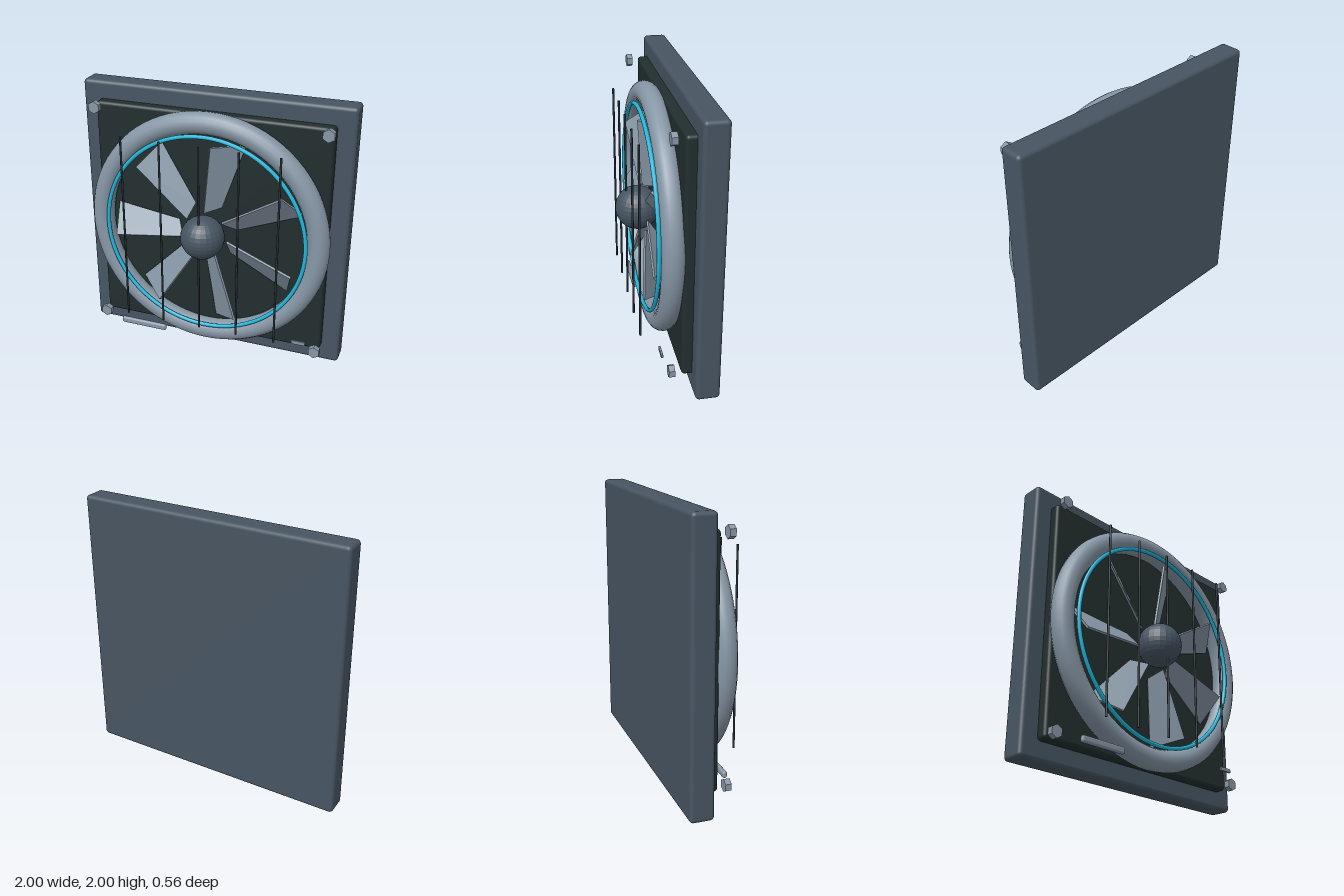
import * as THREE from 'three';
import { RoundedBoxGeometry } from 'three/addons/geometries/RoundedBoxGeometry.js';

const paint = (name, color, flatShading = false) => {
  const m = new THREE.MeshStandardMaterial({ color, flatShading });
  m.name = name;
  return m;
};

export function createModel() {
  const slate = paint('slate', 0x475562);
  const hubSlate = paint('facetedSlate', 0x475562, true);
  const dark = paint('darkPanel', 0x222e2e);
  const steel = paint('steel', 0x8797a6);
  const steelFlat = paint('facetedSteel', 0x8797a6, true);
  const cyan = paint('cyan', 0x20b6da);
  const wire = paint('darkWire', 0x273138);

  const model = new THREE.Group();
  model.name = 'ventilationFan';
  const add = (name, geometry, material, x, y, z, parent = model) => {
    const mesh = new THREE.Mesh(geometry, material);
    mesh.name = name;
    mesh.position.set(x, y, z);
    parent.add(mesh);
    return mesh;
  };

  // Square housing and recessed panel
  add('housing', new RoundedBoxGeometry(2, 2, 0.17, 3, 0.028), slate, 0, 1, -0.195);
  add('panel', new RoundedBoxGeometry(1.74, 1.74, 0.14, 3, 0.025), dark, 0, 1, -0.108);

  // Shroud ring with a bright inner trim
  add('shroudRing', new THREE.TorusGeometry(0.825, 0.08, 16, 80), steel, 0, 1, 0.018);
  add('trimRing', new THREE.TorusGeometry(0.75, 0.015, 10, 80), cyan, 0, 1, 0.098);

  // Seven tapered blades, each pitched about its own radius
  const pitch = 0.65, thickness = 0.016;
  const corners = [[0.22, -0.055], [0.718, -0.104], [0.682, 0.1], [0.165, 0.045]];
  const outline = new THREE.Shape(corners.map(([r, t]) => new THREE.Vector2(r, t / Math.cos(pitch))));
  const bladeGeometry = new THREE.ExtrudeGeometry(outline, { depth: thickness, bevelEnabled: false });
  bladeGeometry.translate(0, 0, -thickness / 2);
  bladeGeometry.rotateX(pitch);
  const rotor = new THREE.Group();
  rotor.name = 'rotor';
  rotor.position.set(0, 1, 0.038);
  model.add(rotor);
  for (let i = 0; i < 7; i++) {
    const blade = add('blade', bladeGeometry, steelFlat, 0, 0, 0, rotor);
    blade.rotation.z = Math.PI + (i * Math.PI * 2) / 7;
  }

  // Round hub
  add('hub', new THREE.SphereGeometry(0.16, 24, 16), hubSlate, 0, 1, 0.115);

  // Vertical guard wires
  const wireGeometry = new THREE.CylinderGeometry(0.008, 0.008, 1.43, 8);
  for (let i = -2; i <= 2; i++) add('guardWire', wireGeometry, wire, i * 0.2875, 1, 0.195);

  // Hexagonal corner bolts
  const boltGeometry = new THREE.CylinderGeometry(0.046, 0.046, 0.042, 6);
  boltGeometry.rotateX(Math.PI / 2);
  for (const x of [-0.845, 0.845])
    for (const y of [0.158, 1.848]) add('cornerBolt', boltGeometry, steelFlat, x, y, 0.03);

  // Lower handle bar and small tag
  add('handleBar', new RoundedBoxGeometry(0.37, 0.05, 0.034, 3, 0.016), steel, -0.498, 0.142, 0.09);
  add('tag', new RoundedBoxGeometry(0.105, 0.03, 0.016, 2, 0.005), steel, 0.733, 0.24, 0.08);

  return model;
}
